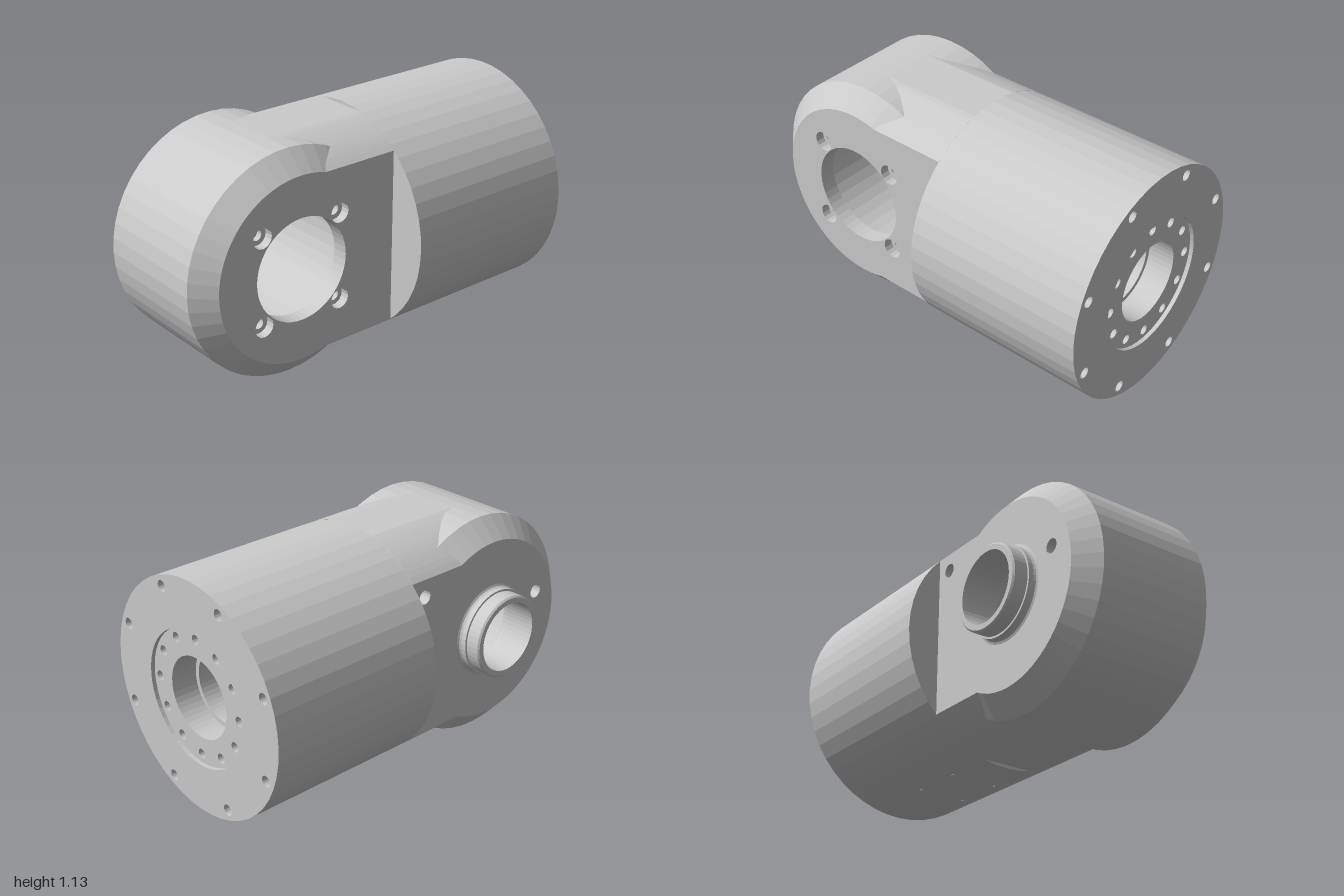
import * as THREE from 'three';

const R = 0.567;          // barrel radius, also the height of its axis
const PIN_Z = 0.45;       // z of the hinge axis
const SEG = 48;

export function createModel() {
  const model = new THREE.Group();
  const body = new THREE.Group();
  body.name = 'jointHousing';
  body.position.y = R;
  model.add(body);

  const material = new THREE.MeshStandardMaterial({ color: 0xcccccc, flatShading: true });

  function add(name, geometry, x = 0, y = 0, z = 0) {
    const mesh = new THREE.Mesh(geometry, material);
    mesh.name = name;
    mesh.position.set(x, y, z);
    body.add(mesh);
    return mesh;
  }

  // Profiles are [radius, position along axis]
  const lathe = (profile, seg = SEG) =>
    new THREE.LatheGeometry(profile.map(([r, a]) => new THREE.Vector2(r, a)), seg);
  const latheX = (profile) => lathe(profile).rotateZ(-Math.PI / 2);
  const latheZ = (profile) => lathe(profile).rotateX(Math.PI / 2);

  function circle(x, y, r, seg = SEG) {
    const points = [];
    for (let i = 0; i < seg; i++) {
      const a = (i / seg) * Math.PI * 2;
      points.push(new THREE.Vector2(x + r * Math.cos(a), y + r * Math.sin(a)));
    }
    return points;
  }

  // Blind hole opening towards local +y, optionally counterbored
  const pit = (r, depth, inner = 0) => lathe(inner
    ? [[r, 0], [r, -depth * 0.6], [inner, -depth * 0.6], [inner, -depth], [0, -depth]]
    : [[r, 0], [r, -depth], [0, -depth]], 16);

  // Barrel with its front shoulder, and the bore through its rear
  add('barrel', latheZ([[R, -1], [R, -0.08], [0, -0.08]]));
  add('rearBore', latheZ([[0.172, -0.1], [0.172, -0.85], [0.195, -0.85], [0.195, -0.98]]));
  add('rearRecessRim', latheZ([[0.327, -0.98], [0.327, -1]]));

  // Rear plates, each with a ring of bolt holes
  function rearPlate(name, outer, inner, z, count, ringRadius, holeRadius, phase) {
    const shape = new THREE.Shape(circle(0, 0, outer));
    shape.holes.push(new THREE.Path(circle(0, 0, inner)));
    for (let i = 0; i < count; i++) {
      const a = ((i + phase) / count) * Math.PI * 2;
      const x = ringRadius * Math.cos(a), y = ringRadius * Math.sin(a);
      shape.holes.push(new THREE.Path(circle(x, y, holeRadius, 16)));
      add(name + 'BoltHole', pit(holeRadius, 0.08).rotateX(-Math.PI / 2), -x, y, z);
    }
    add(name, new THREE.ShapeGeometry(shape).rotateY(Math.PI), 0, 0, z);
  }
  rearPlate('rearFlange', R, 0.327, -1, 8, 0.516, 0.027, 0.5);
  rearPlate('outputPlate', 0.327, 0.195, -0.98, 12, 0.283, 0.024, 0);

  // Neck: the barrel's curve carried forward, trimmed at top and bottom
  for (const side of [1, -1]) {
    const sheet = new THREE.PlaneGeometry(0.775, 0.53, 32, 1).rotateX(-side * Math.PI / 2);
    sheet.translate(-0.0175, 0, 0.185);
    const p = sheet.attributes.position;
    for (let i = 0; i < p.count; i++) {
      p.setY(i, side * Math.min(0.55, Math.sqrt(R * R - p.getX(i) ** 2)));
    }
    sheet.computeVertexNormals();
    add(side > 0 ? 'neckTop' : 'neckBottom', sheet);
  }

  // Rounded hinge end with chamfered edges
  add('hingeDrum', latheX([[0.45, -0.405], [0.55, -0.31], [0.55, 0.275], [0.45, 0.37]]), 0, 0, PIN_Z);

  // Flat sides; holes are [z from hinge axis, y, radius, depth, inner radius]
  function sideFace(name, x, opening, holes) {
    const s = Math.sign(x);
    const h = Math.sqrt(R * R - x * x);
    const end = Math.PI - Math.asin(h / 0.45);
    const outline = [];
    for (let i = 0; i <= 40; i++) {
      const a = -end + (2 * end * i) / 40;
      outline.push(new THREE.Vector2(-s * 0.45 * Math.cos(a), 0.45 * Math.sin(a)));
    }
    const back = s * (PIN_Z + 0.08);
    outline.push(new THREE.Vector2(back, h), new THREE.Vector2(back, -h));
    const shape = new THREE.Shape(outline);
    shape.holes.push(new THREE.Path(circle(0, 0, opening)));
    for (const [z, y, r, depth, inner] of holes) {
      shape.holes.push(new THREE.Path(circle(-s * z, y, r, 16)));
      add(name + 'BoltHole', pit(r, depth, inner).rotateZ(-s * Math.PI / 2), x, y, PIN_Z + z);
    }
    add(name, new THREE.ShapeGeometry(shape).rotateY(s * Math.PI / 2), x, 0, PIN_Z);
  }
  const bolts = [];
  for (const z of [-0.215, 0.215]) for (const y of [-0.215, 0.215]) bolts.push([z, y, 0.05, 0.075, 0.027]);
  sideFace('leftFace', 0.37, 0.25, bolts);
  sideFace('rightFace', -0.405, 0.23, [[0.32, 0.1, 0.035, 0.08], [-0.45, 0.31, 0.035, 0.08]]);

  // Hinge cavity, flared through-bore and the collar on the right side
  const profile = [[0.25, 0.37], [0.25, 0.29], [0.4, 0.29], [0.4, -0.31]];
  for (let i = 0; i <= 6; i++) {
    const a = (i / 6) * Math.PI / 2;
    profile.push([0.222 - 0.05 * Math.sin(a), -0.36 + 0.05 * Math.cos(a)]);
  }
  profile.push([0.172, -0.52], [0.197, -0.52], [0.205, -0.512], [0.205, -0.445],
    [0.215, -0.445], [0.215, -0.42], [0.22, -0.41], [0.23, -0.405]);
  add('hingeBoreAndCollar', latheX(profile), 0, 0, PIN_Z);

  // Four small pins set in the underside of the barrel
  for (const x of [-0.12, 0.12]) for (const z of [-0.61, -0.34]) {
    const pin = add('undersidePin', new THREE.CylinderGeometry(0.012, 0.012, 0.02, 12),
      x, -Math.sqrt(R * R - x * x) + 0.008, z);
    pin.rotation.z = Math.asin(x / R);
  }

  return model;
}
